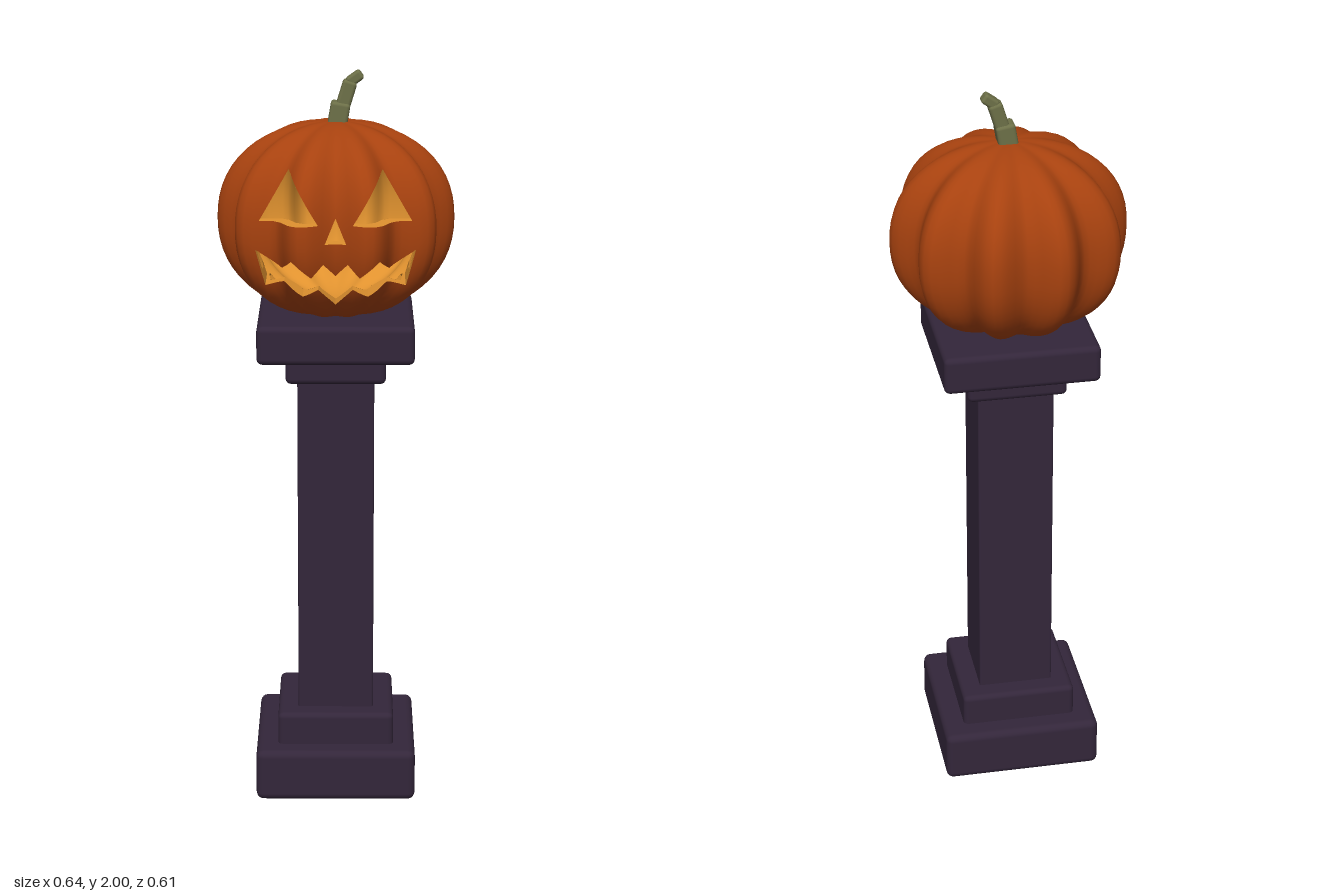
import * as THREE from 'three';
import { RoundedBoxGeometry } from 'three/addons/geometries/RoundedBoxGeometry.js';

const rind = new THREE.MeshStandardMaterial({ name: 'pumpkin orange', color: 0xa8420f });
const flesh = new THREE.MeshStandardMaterial({ name: 'glowing flesh', color: 0xe0922f, side: THREE.DoubleSide });
const stone = new THREE.MeshStandardMaterial({ name: 'dark purple stone', color: 0x33263a });
const stemGreen = new THREE.MeshStandardMaterial({ name: 'stem green', color: 0x6d7048 });

// Pumpkin proportions: a ten-lobed squashed ball
const MID = 1.606, HALF = 0.262, RADIUS = 0.318, POWER = 2.2, INNER = 0.85;
const lobe = (a) => 0.92 - 0.08 * Math.cos(10 * a);
const ring = (t) => Math.pow(Math.max(0, 1 - Math.pow(Math.abs(t), POWER)), 1 / POWER);

function surfacePoint(a, y, scale) {
  const r = scale * RADIUS * lobe(a) * ring((y - MID) / (HALF * scale));
  return new THREE.Vector3(r * Math.sin(a), y, r * Math.cos(a));
}

// Smooth normal from the gradient of the pumpkin's implicit equation
function surfaceNormal(p, scale) {
  const f = (x, y, z) =>
    Math.pow(Math.hypot(x, z) / (scale * RADIUS * lobe(Math.atan2(x, z))), POWER) +
    Math.pow(Math.abs(y - MID) / (scale * HALF), POWER);
  const e = 0.0005, { x, y, z } = p;
  return new THREE.Vector3(
    f(x + e, y, z) - f(x - e, y, z),
    f(x, y + e, z) - f(x, y - e, z),
    f(x, y, z + e) - f(x, y, z - e)).normalize();
}

// Point on the front of the pumpkin above a given x, y
function frontPoint(x, y, scale) {
  let lo = 0, hi = 1.5;
  for (let i = 0; i < 30; i++) {
    const m = (lo + hi) / 2;
    if (surfacePoint(m, y, scale).x < Math.abs(x)) lo = m; else hi = m;
  }
  const p = surfacePoint(lo, y, scale);
  p.x = x;
  return p;
}

// Carved face outlines
const points = (list) => list.map(([x, y]) => new THREE.Vector2(x, y));
const eye = [[0.045, 1.64], [0.2, 1.637], [0.122, 1.77]];
const upperLip = [[0.21, 1.56], [0.14, 1.515], [0.115, 1.545], [0.063, 1.5], [0.032, 1.535]];
const lowerLip = [[0.045, 1.465], [0.085, 1.445], [0.135, 1.475], [0.185, 1.46]];
const mirror = (list) => list.map(([x, y]) => [-x, y]).reverse();
const carvings = [
  points(eye),
  points(mirror(eye)),
  points([[-0.028, 1.588], [0.028, 1.588], [0, 1.655]]),
  points([...upperLip, [0, 1.5], ...mirror(upperLip), ...mirror(lowerLip), [0, 1.41], ...lowerLip]),
];
const cutters = carvings.flatMap((c) => THREE.ShapeUtils.triangulateShape(c, []).map((t) => {
  const tri = t.map((i) => c[i]);
  return THREE.ShapeUtils.isClockWise(tri) ? tri.reverse() : tri;
}));

// Split a polygon by the line a-b, seen from the front: [left part, right part]
function split(poly, a, b) {
  const left = [], right = [];
  const side = (p) => (b.x - a.x) * (p.y - a.y) - (b.y - a.y) * (p.x - a.x);
  poly.forEach((p, i) => {
    const q = poly[(i + 1) % poly.length], sp = side(p), sq = side(q);
    (sp >= 0 ? left : right).push(p);
    if (sp >= 0 !== sq >= 0) {
      const m = p.clone().lerp(q, sp / (sp - sq));
      left.push(m);
      right.push(m);
    }
  });
  return [left, right];
}

function subtract(poly, tri) {
  const out = [];
  let rest = poly;
  for (let i = 0; i < 3 && rest.length > 2; i++) {
    const [inside, outside] = split(rest, tri[i], tri[(i + 1) % 3]);
    if (outside.length > 2) out.push(outside);
    rest = inside;
  }
  return rest.length > 2 ? out : [poly];
}

function meshFrom(name, positions, normals, material) {
  const g = new THREE.BufferGeometry();
  g.setAttribute('position', new THREE.Float32BufferAttribute(positions, 3));
  if (normals) g.setAttribute('normal', new THREE.Float32BufferAttribute(normals, 3));
  else g.computeVertexNormals();
  const mesh = new THREE.Mesh(g, material);
  mesh.name = name;
  return mesh;
}

// Lobed skin with the face cut out of its front
function shell(name, scale, inward, material) {
  const AROUND = 100, UP = 28, pos = [], nor = [];
  const at = (i, j) => surfacePoint((i / AROUND) * 2 * Math.PI,
    MID - HALF * scale * Math.cos((j / UP) * Math.PI), scale);
  for (let i = 0; i < AROUND; i++) {
    for (let j = 0; j < UP; j++) {
      let polys = [[at(i, j), at(i + 1, j), at(i + 1, j + 1), at(i, j + 1)]];
      if (polys[0].every((p) => p.z > 0)) {
        for (const tri of cutters) polys = polys.flatMap((p) => subtract(p, tri));
      }
      for (const poly of polys) {
        for (let k = 1; k < poly.length - 1; k++) {
          const tri = [poly[0], poly[k], poly[k + 1]];
          if (inward) tri.reverse();
          for (const p of tri) {
            pos.push(p.x, p.y, p.z);
            const n = surfaceNormal(p, scale).multiplyScalar(inward ? -1 : 1);
            nor.push(n.x, n.y, n.z);
          }
        }
      }
    }
  }
  return meshFrom(name, pos, nor, material);
}

// Thickness of the flesh around every carved opening
function carvedEdges() {
  const pos = [], STEPS = 8;
  for (const c of carvings) {
    c.forEach((a, i) => {
      const b = c[(i + 1) % c.length];
      for (let s = 0; s < STEPS; s++) {
        const p = a.clone().lerp(b, s / STEPS), q = a.clone().lerp(b, (s + 1) / STEPS);
        const o0 = frontPoint(p.x, p.y, 1), o1 = frontPoint(q.x, q.y, 1);
        const i0 = frontPoint(p.x, p.y, INNER), i1 = frontPoint(q.x, q.y, INNER);
        for (const v of [o0, i1, i0, o0, o1, i1]) pos.push(v.x, v.y, v.z);
      }
    });
  }
  return meshFrom('carvedEdges', pos, null, flesh);
}

function block(name, size, center, radius, material, tilt = 0) {
  const mesh = new THREE.Mesh(new RoundedBoxGeometry(...size, 2, radius), material);
  mesh.name = name;
  mesh.position.set(...center);
  mesh.rotation.z = tilt;
  return mesh;
}

export function createModel() {
  const model = new THREE.Group();
  model.name = 'carvedPumpkinOnPedestal';

  // Pedestal: name, width, bottom, top, edge radius
  const pedestal = new THREE.Group();
  pedestal.name = 'pedestal';
  for (const [name, w, y0, y1, r] of [
    ['base', 0.44, 0, 0.145, 0.02],
    ['baseStep', 0.32, 0.12, 0.235, 0.015],
    ['shaft', 0.208, 0.2, 1.2, 0.006],
    ['neck', 0.27, 1.175, 1.26, 0.015],
    ['cap', 0.42, 1.247, 1.352, 0.016],
  ]) pedestal.add(block(name, [w, y1 - y0, w], [0, (y0 + y1) / 2, 0], r, stone));

  // Pumpkin
  const pumpkin = new THREE.Group();
  pumpkin.name = 'pumpkin';
  pumpkin.add(shell('rind', 1, false, rind), shell('innerFlesh', INNER, true, flesh), carvedEdges());

  // Crooked stem
  const stem = new THREE.Group();
  stem.name = 'stem';
  stem.add(
    block('stemBottom', [0.052, 0.065, 0.054], [0.008, 1.885, 0], 0.009, stemGreen, -0.17),
    block('stemMiddle', [0.038, 0.075, 0.042], [0.028, 1.938, 0], 0.009, stemGreen, -0.3),
    block('stemTop', [0.028, 0.045, 0.034], [0.05, 1.98, 0], 0.008, stemGreen, -0.95));

  model.add(pedestal, pumpkin, stem);
  return model;
}
